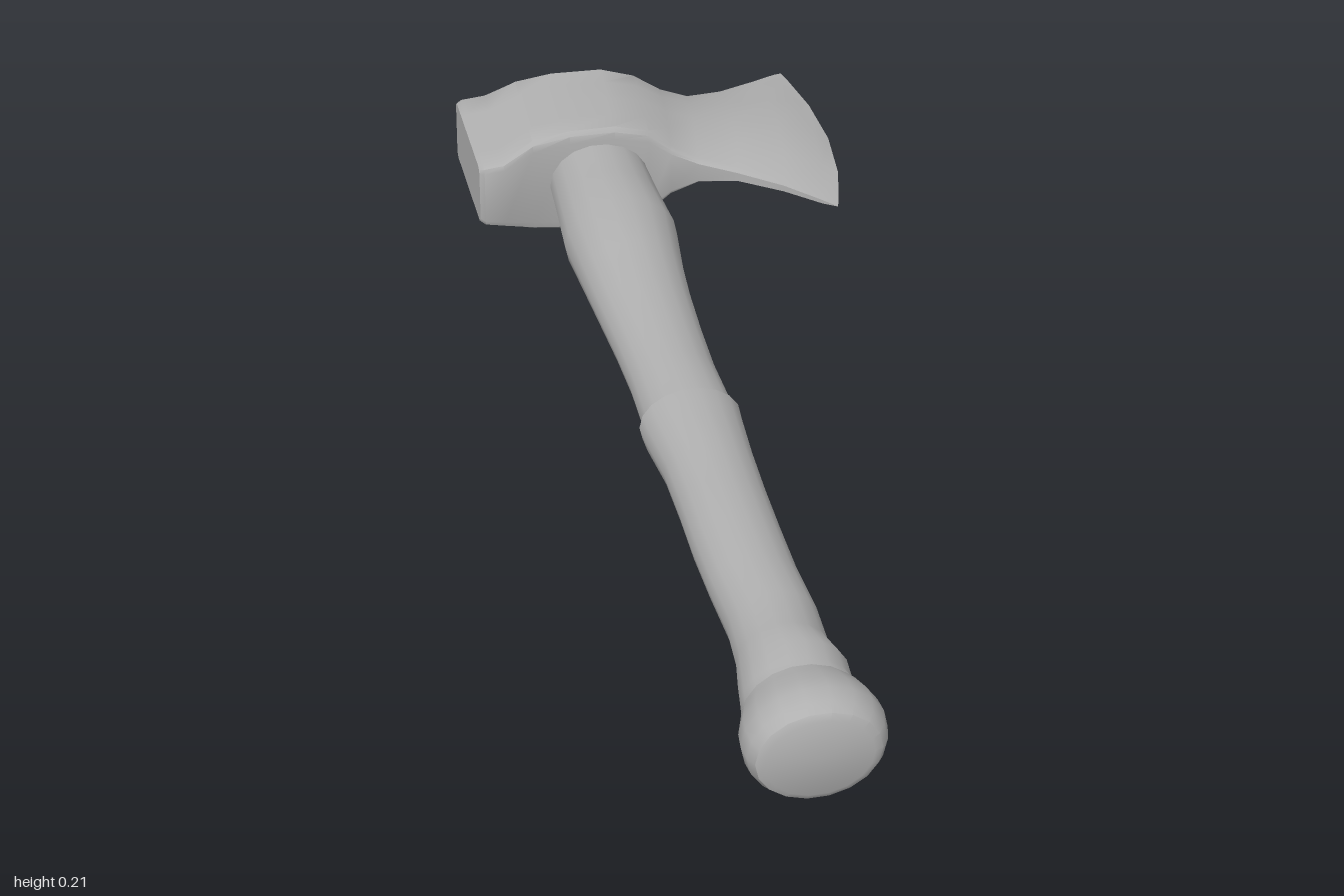
import * as THREE from 'three';
import { toCreasedNormals } from 'three/addons/utils/BufferGeometryUtils.js';

// Skin a list of equal-sized point rings and close both ends
function loft(rings, crease) {
  const n = rings[0].length, pos = [], idx = [];
  rings.forEach(r => r.forEach(p => pos.push(...p)));
  for (let i = 0; i < rings.length - 1; i++) {
    for (let j = 0; j < n; j++) {
      const a = i * n + j, b = i * n + (j + 1) % n;
      idx.push(a, b, a + n, b, b + n, a + n);
    }
  }
  [0, rings.length - 1].forEach((i, end) => {
    const c = pos.length / 3;
    for (let k = 0; k < 3; k++) pos.push(rings[i].reduce((s, p) => s + p[k], 0) / n);
    for (let j = 0; j < n; j++) {
      const a = i * n + j, b = i * n + (j + 1) % n;
      if (end) idx.push(c, a, b); else idx.push(c, b, a);
    }
  });
  const g = new THREE.BufferGeometry();
  g.setAttribute('position', new THREE.Float32BufferAttribute(pos, 3));
  g.setIndex(idx);
  return toCreasedNormals(g, crease);
}

// Elliptical ring square to the tilted handle axis
function ovalRing([x, z, halfWidth, halfHeight, y], sides = 18) {
  return Array.from({ length: sides }, (_, j) => {
    const a = j / sides * Math.PI * 2, w = Math.cos(a) * halfWidth;
    return [x + w * 0.968, y + Math.sin(a) * halfHeight, z - w * 0.25];
  });
}

// Boxy at the poll and eye, lens-shaped at the blade
function headRing([bx, bz, fx, fz, h, blade, bulge]) {
  const ts = [-1, -0.975, -0.9, -0.5, 0, 0.5, 0.9, 0.975, 1];
  const body = [0.8, 0.93, 1, 1, 1, 1, 1, 0.93, 0.8];
  const side = ts.map((t, i) => {
    const s = (t + 1) / 2;
    return [
      bx + (fx - bx) * s + bulge * (1 - t * t),
      h * THREE.MathUtils.lerp(body[i], 1 - 0.75 * t * t, blade),
      bz + (fz - bz) * s,
    ];
  });
  const y = 0.111;
  return [
    ...side.map(p => [p[0], y + p[1], p[2]]),
    ...side.reverse().map(p => [p[0], y - p[1], p[2]]),
  ];
}

export function createModel() {
  const group = new THREE.Group();
  const grey = new THREE.MeshStandardMaterial({ color: 0xb0b0b0 });
  grey.name = 'plain grey';
  const add = (name, geometry) => {
    const mesh = new THREE.Mesh(geometry, grey);
    mesh.name = name;
    group.add(mesh);
  };

  // Head: back x, back z, front x, front z, half thickness, blade blend, bulge
  add('axeHead', loft([
    [-0.391, -0.777, -0.330, -0.543, 0.058, 0, 0],
    [-0.383, -0.785, -0.320, -0.537, 0.062, 0, 0],
    [-0.340, -0.793, -0.285, -0.543, 0.068, 0, 0],
    [-0.285, -0.805, -0.235, -0.575, 0.092, 0, 0],
    [-0.220, -0.820, -0.170, -0.595, 0.102, 0, 0],
    [-0.130, -0.835, -0.090, -0.612, 0.104, 0, 0],
    [-0.070, -0.845, -0.030, -0.630, 0.092, 0.1, 0],
    [-0.020, -0.858, 0.010, -0.638, 0.064, 0.35, 0],
    [0.030, -0.878, 0.060, -0.640, 0.043, 0.7, 0],
    [0.090, -0.915, 0.130, -0.628, 0.033, 1, 0.01],
    [0.150, -0.957, 0.215, -0.592, 0.024, 1, 0.02],
    [0.190, -0.989, 0.285, -0.550, 0.014, 1, 0.028],
    [0.203, -1.000, 0.312, -0.536, 0.001, 1, 0.036],
  ].map(headRing), 0.65));

  // Handle: x, z, half width, half height, centre height
  add('upperHandle', loft([
    [-0.135, -0.680, 0.088, 0.076, 0.110],
    [-0.118, -0.600, 0.090, 0.077, 0.110],
    [-0.098, -0.520, 0.094, 0.076, 0.110],
    [-0.070, -0.410, 0.101, 0.084, 0.110],
    [-0.045, -0.300, 0.091, 0.072, 0.109],
    [-0.020, -0.200, 0.084, 0.064, 0.108],
    [0.010, -0.090, 0.078, 0.060, 0.106],
    [0.037, 0.010, 0.075, 0.059, 0.105],
    [0.068, 0.125, 0.078, 0.060, 0.105],
  ].map(r => ovalRing(r)), 0.6));

  // Grip starts with a small raised lip
  add('grip', loft([
    [0.068, 0.125, 0.078, 0.060, 0.105],
    [0.070, 0.130, 0.086, 0.067, 0.105],
    [0.078, 0.165, 0.084, 0.065, 0.105],
    [0.105, 0.260, 0.076, 0.061, 0.105],
    [0.130, 0.360, 0.074, 0.060, 0.105],
    [0.155, 0.460, 0.074, 0.061, 0.105],
    [0.183, 0.560, 0.073, 0.059, 0.104],
    [0.215, 0.660, 0.073, 0.062, 0.103],
    [0.232, 0.740, 0.074, 0.067, 0.102],
    [0.249, 0.795, 0.087, 0.077, 0.102],
    [0.255, 0.830, 0.089, 0.072, 0.100],
    [0.262, 0.850, 0.094, 0.074, 0.098],
  ].map(r => ovalRing(r)), 0.6));

  // Rounded pommel with a flat end
  add('pommel', loft([
    [0.256, 0.835, 0.086, 0.070, 0.099],
    [0.266, 0.860, 0.099, 0.080, 0.097],
    [0.274, 0.890, 0.110, 0.092, 0.095],
    [0.281, 0.918, 0.113, 0.095, 0.095],
    [0.286, 0.945, 0.108, 0.090, 0.095],
    [0.289, 0.962, 0.098, 0.081, 0.095],
    [0.290, 0.968, 0.085, 0.070, 0.095],
  ].map(r => ovalRing(r)), 0.6));

  // Domed end of the handle showing behind the eye
  add('handleTip', loft([
    [-0.185, -0.860, 0.030, 0.022, 0.110],
    [-0.184, -0.852, 0.078, 0.056, 0.110],
    [-0.181, -0.838, 0.097, 0.071, 0.110],
    [-0.165, -0.780, 0.099, 0.073, 0.110],
  ].map(r => ovalRing(r)), 0.6));

  return group;
}
